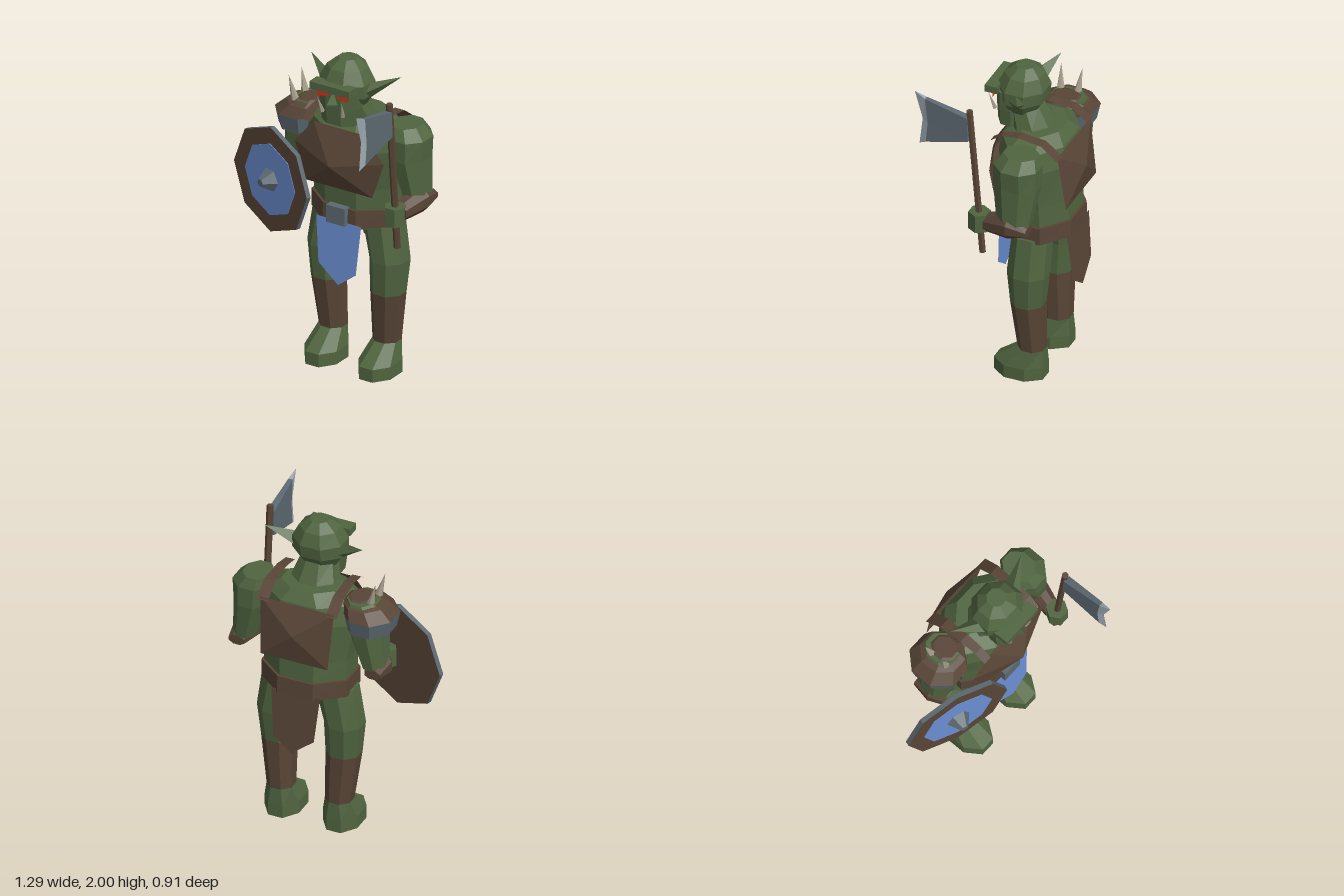
import * as THREE from 'three';

const mat = (name, color) => {
  const m = new THREE.MeshStandardMaterial({ color, flatShading: true, side: THREE.DoubleSide });
  m.name = name;
  return m;
};

export function createModel() {
  const skin = mat('green skin', 0x506540), leather = mat('brown leather', 0x584536);
  const steel = mat('steel', 0x5c6971), cloth = mat('blue cloth', 0x6a8ed2);
  const edge = mat('sharpened edge', 0x9da7b0), red = mat('red eye', 0xe02c14), bone = mat('bone', 0xa89f8c);

  const root = new THREE.Group();
  const body = new THREE.Group();
  body.name = 'body';
  body.position.x = 0.137;
  root.add(body);

  const add = (name, geo, material, parent = body) => {
    const mesh = new THREE.Mesh(geo, material);
    mesh.name = name;
    parent.add(mesh);
    return mesh;
  };
  // Flat faces from a few points; a face may have any number of corners
  const faces = (pts, polys) => {
    const out = [];
    for (const p of polys)
      for (let k = 1; k < p.length - 1; k++) out.push(...pts[p[0]], ...pts[p[k]], ...pts[p[k + 1]]);
    const g = new THREE.BufferGeometry();
    g.setAttribute('position', new THREE.Float32BufferAttribute(out, 3));
    g.computeVertexNormals();
    return g;
  };
  // Eight-sided solid through rings [y, centre x, centre z, half width, half depth], bottom to top
  const loft = (rings) => {
    const n = 8, pts = [], polys = [], c = Math.cos(Math.PI / n);
    for (const [y, x, z, w, d] of rings)
      for (let k = 0; k < n; k++) {
        const a = (k + 0.5) * 2 * Math.PI / n;
        pts.push([x + w * Math.sin(a) / c, y, z + d * Math.cos(a) / c]);
      }
    for (let i = 0; i < rings.length - 1; i++)
      for (let k = 0; k < n; k++) {
        const a = i * n + k, b = i * n + (k + 1) % n;
        polys.push([a, b, b + n, a + n]);
      }
    const ids = [...Array(n).keys()], top = (rings.length - 1) * n;
    polys.push([...ids].reverse(), ids.map((k) => k + top));
    return faces(pts, polys);
  };
  // Cone or rod between two points
  const rod = (name, from, to, r0, r1, sides, material, parent) => {
    const a = new THREE.Vector3(...from), b = new THREE.Vector3(...to), dir = b.clone().sub(a);
    const m = add(name, new THREE.CylinderGeometry(r1, r0, dir.length(), sides), material, parent);
    m.position.copy(a).add(b).multiplyScalar(0.5);
    m.quaternion.setFromUnitVectors(new THREE.Vector3(0, 1, 0), dir.normalize());
    return m;
  };
  const box = (name, w, h, d, x, y, z, material) =>
    add(name, new THREE.BoxGeometry(w, h, d), material).position.set(x, y, z);

  // Torso and belt
  add('torso', loft([[0.93, 0, -0.19, 0.23, 0.17], [1.05, 0, -0.19, 0.26, 0.2], [1.2, 0, -0.185, 0.265, 0.2],
    [1.45, 0, -0.17, 0.305, 0.215], [1.57, 0, -0.165, 0.28, 0.195], [1.635, 0, -0.18, 0.17, 0.13]]), skin);
  add('belt', loft([[0.96, 0, -0.19, 0.275, 0.22], [1.07, 0, -0.19, 0.275, 0.215]]), leather);
  box('buckle', 0.13, 0.11, 0.05, -0.005, 1.025, 0.035, steel);

  // Hanging cloths
  const flap = [[-0.157, 0.98], [-0.13, 0.69], [0.01, 0.58], [0.13, 0.67], [0.155, 0.98]];
  add('frontCloth', faces(flap.map(([x, y]) => [x, y, 0.03 + (0.98 - y) * 0.06]), [[0, 1, 2, 3, 4]]), cloth);
  add('backCloth', faces(flap.map(([x, y]) => [x, y, -0.4 - (0.98 - y) * 0.09]), [[4, 3, 2, 1, 0]]), leather);

  // Chest and back plates
  add('chestPlate', faces([[-0.17, 1.58, 0.035], [-0.31, 1.42, 0.025], [-0.23, 1.185, 0.025], [0.23, 1.185, 0.025],
    [0.31, 1.42, 0.025], [0.17, 1.58, 0.035], [0, 1.37, 0.14]],
    [0, 1, 2, 3, 4, 5].map((k) => [k, (k + 1) % 6, 6])), leather);
  add('backPlate', faces([[-0.235, 1.57, -0.375], [0.235, 1.57, -0.375], [0.215, 1.21, -0.42],
    [-0.215, 1.21, -0.42], [0, 1.4, -0.455]], [0, 1, 2, 3].map((k) => [k, (k + 1) % 4, 4])), leather);

  // Legs, arms, straps and face details on both sides
  for (const s of [-1, 1]) {
    const side = s > 0 ? 'left' : 'right';
    add(side + 'Thigh', loft([[0.51, s * 0.207, -0.178, 0.1, 0.098], [0.72, s * 0.215, -0.183, 0.112, 0.118],
      [0.98, s * 0.165, -0.19, 0.125, 0.11]]), skin);
    add(side + 'Shin', loft([[0.19, s * 0.187, -0.195, 0.08, 0.08], [0.51, s * 0.207, -0.178, 0.1, 0.098]]), leather);
    add(side + 'Foot', loft([[0, s * 0.187, -0.125, 0.11, 0.155], [0.08, s * 0.187, -0.125, 0.11, 0.155],
      [0.19, s * 0.187, -0.195, 0.08, 0.08]]), skin);
    add(side + 'UpperArm', loft([[1.18, s * 0.41, -0.18, 0.075, 0.1], [1.42, s * 0.365, -0.18, 0.11, 0.135],
      [1.55, s * 0.36, -0.18, 0.122, 0.135], [1.615, s * 0.335, -0.19, 0.085, 0.1]]), skin);
    const hz = s > 0 ? 0.045 : -0.02;
    add(side + 'Forearm', loft([[-0.28, s * 0.435, -1.155, 0.05, 0.03], [-0.16, s * 0.435, -1.165, 0.07, 0.075],
      [hz - 0.04, s * 0.4, -1.13, 0.05, 0.055]]).rotateX(Math.PI / 2), leather);
    add(side + 'Hand', new THREE.CylinderGeometry(0.066, 0.066, 0.115, 6).rotateY(Math.PI / 6), skin)
      .position.set(s * 0.402, 1.133, hz);

    // Shoulder strap as a bent band
    const line = [[0.05, 1.58], [-0.02, 1.63], [-0.13, 1.65], [-0.28, 1.635], [-0.385, 1.555]];
    const band = line.flatMap(([z, y]) => [[s * 0.185, y, z], [s * (0.24 - z * 0.05), y, z]]);
    add(side + 'Strap', faces(band, [0, 2, 4, 6].map((k) => s > 0 ? [k, k + 1, k + 3, k + 2]
      : [k + 2, k + 3, k + 1, k])), leather);

    // Ear
    const ear = faces([[s * 0.13, 1.865, -0.06], [s * 0.13, 1.81, 0], [s * 0.13, 1.755, -0.06],
      [s * 0.13, 1.81, -0.13], [s * 0.315, 1.915, -0.155]],
      [0, 1, 2, 3].map((k) => s > 0 ? [(k + 1) % 4, k, 4].reverse() : [(k + 1) % 4, k, 4]));
    add(side + 'Ear', ear, skin);

    // Eye and tusk
    add(side + 'Eye', faces([[s * 0.03, 1.8, 0.094], [s * 0.105, 1.79, 0.094], [s * 0.115, 1.838, 0.094],
      [s * 0.03, 1.838, 0.094]], [s > 0 ? [0, 1, 2, 3] : [3, 2, 1, 0]]), red);
    rod(side + 'Tusk', [s * 0.07, 1.695, 0.095], [s * 0.085, 1.8, 0.13], 0.014, 0, 5, bone);
  }

  // Neck and head
  add('neck', loft([[1.59, 0, -0.13, 0.15, 0.13], [1.64, 0, -0.12, 0.135, 0.115], [1.75, 0, -0.07, 0.1, 0.1]]), skin);
  add('head', loft([[1.7, 0, -0.06, 0.1, 0.08], [1.79, 0, -0.06, 0.155, 0.135], [1.87, 0, -0.06, 0.155, 0.145],
    [1.95, 0, -0.065, 0.115, 0.11], [2, 0, -0.07, 0.055, 0.055]]), skin);
  add('jaw', loft([[1.62, 0, 0.01, 0.112, 0.075], [1.73, 0, 0.005, 0.127, 0.085], [1.85, 0, 0.005, 0.13, 0.085]]), skin);
  box('brow', 0.275, 0.045, 0.08, 0, 1.862, 0.092, skin);
  add('nose', faces([[0, 1.84, 0.085], [-0.035, 1.755, 0.085], [0.035, 1.755, 0.085], [0, 1.775, 0.16]],
    [[0, 1, 3], [1, 2, 3], [2, 0, 3]]), skin);

  // Spiked shoulder guard
  add('shoulderGuardRim', loft([[1.43, -0.38, -0.18, 0.138, 0.145], [1.53, -0.382, -0.18, 0.156, 0.165]]), steel);
  add('shoulderGuard', loft([[1.53, -0.382, -0.18, 0.156, 0.168], [1.59, -0.345, -0.18, 0.125, 0.13],
    [1.622, -0.32, -0.18, 0.06, 0.07]]), leather);
  rod('rearSpike', [-0.395, 1.59, -0.22], [-0.435, 1.755, -0.235], 0.027, 0, 6, bone);
  rod('frontSpike', [-0.395, 1.59, -0.115], [-0.435, 1.755, -0.1], 0.027, 0, 6, bone);

  // Shield: steel-edged octagon with painted face and boss
  const shield = new THREE.Group();
  shield.name = 'shield';
  shield.position.set(-0.325, 1.13, 0.03);
  shield.rotation.y = -0.305;
  root.add(shield);
  add('shieldBoard', new THREE.CylinderGeometry(0.335, 0.335, 0.03, 8).rotateX(Math.PI / 2),
    [steel, leather, leather], shield);
  add('shieldFace', new THREE.CylinderGeometry(0.23, 0.23, 0.004, 8).rotateX(Math.PI / 2), cloth, shield)
    .position.z = 0.017;
  add('shieldBoss', new THREE.CylinderGeometry(0.025, 0.075, 0.075, 6).rotateX(Math.PI / 2).rotateZ(Math.PI / 6),
    steel, shield).position.z = 0.055;

  // Axe
  const axe = new THREE.Group();
  axe.name = 'axe';
  axe.position.x = 0.54;
  root.add(axe);
  rod('axeHandle', [0, 0.915, 0.025], [0, 1.87, 0.108], 0.021, 0.021, 6, leather, axe);
  const P = [[1.825, 0.115, 0.023], [1.665, 0.11, 0.023], [1.885, 0.385, 0.014], [1.725, 0.368, 0.014],
    [1.59, 0.38, 0.014], [1.915, 0.455, 0.001], [1.74, 0.405, 0.001], [1.565, 0.425, 0.001]];
  const bladePts = [...P.map(([y, z, t]) => [t, y, z]), ...P.map(([y, z, t]) => [-t, y, z])];
  const both = (polys) => [...polys, ...polys.map((p) => p.map((k) => k + 8).reverse())];
  add('axeBlade', faces(bladePts, [...both([[0, 2, 3], [0, 3, 1], [1, 3, 4]]),
    [0, 8, 10, 2], [1, 4, 12, 9], [0, 1, 9, 8]]), steel, axe);
  add('axeEdge', faces(bladePts, [...both([[2, 5, 6, 3], [3, 6, 7, 4]]),
    [2, 10, 13, 5], [4, 7, 15, 12]]), edge, axe);

  return root;
}
